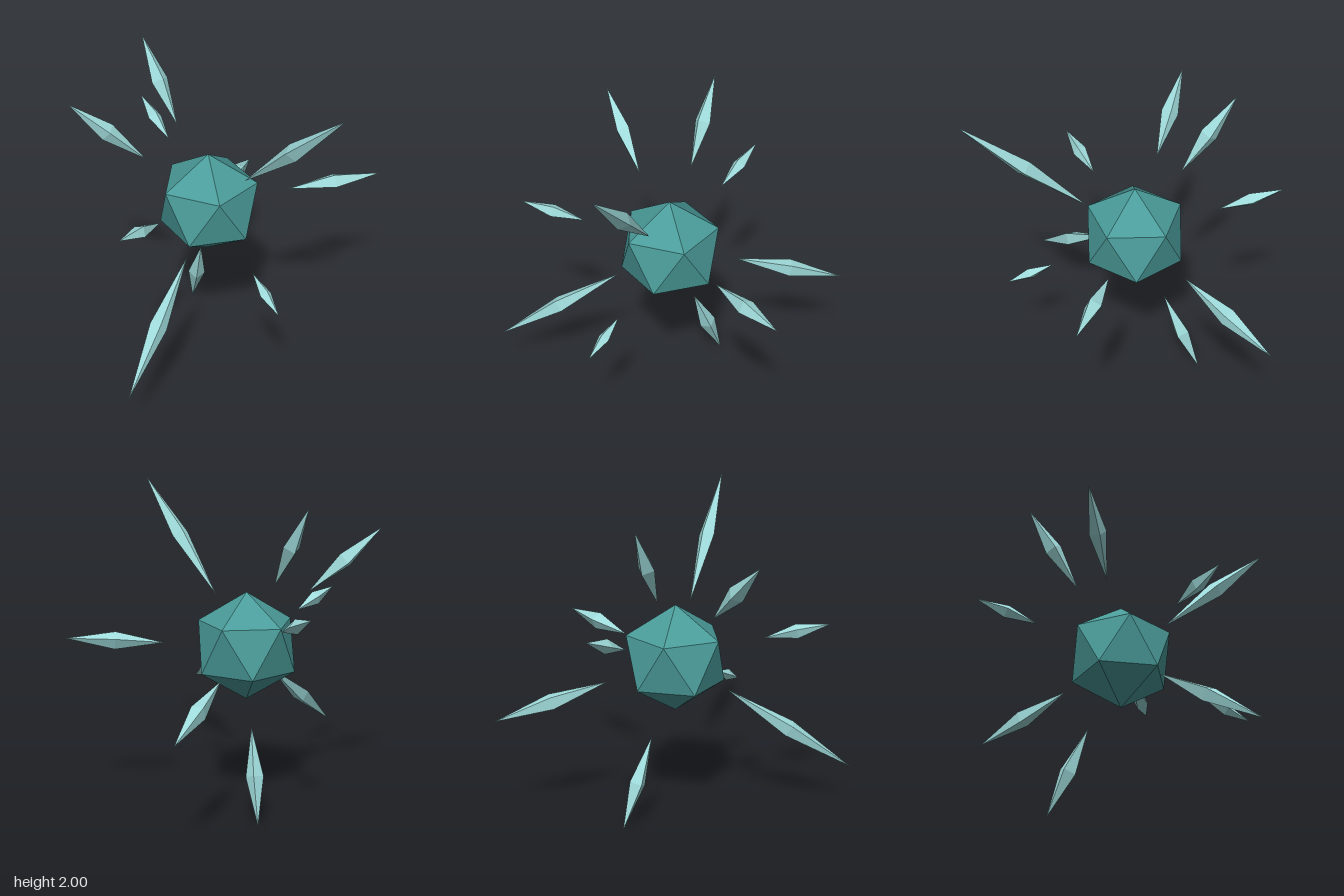
import * as THREE from 'three';
import { ConvexGeometry } from 'three/addons/geometries/ConvexGeometry.js';

const coreMaterial = new THREE.MeshStandardMaterial({ color: 0x4a9c9a, flatShading: true });
const shardMaterial = new THREE.MeshStandardMaterial({ color: 0xa0dcdc, flatShading: true });

// Icosahedron standing on a corner: two poles and two staggered rings of five
function createCore(radius) {
  const points = [new THREE.Vector3(0, radius, 0), new THREE.Vector3(0, -radius, 0)];
  const ringY = radius / Math.sqrt(5);
  for (let i = 0; i < 5; i++) {
    const a = (i * Math.PI * 2) / 5;
    const x = 2 * ringY * Math.cos(a);
    const z = 2 * ringY * Math.sin(a);
    points.push(new THREE.Vector3(-x, ringY, z), new THREE.Vector3(x, -ringY, z));
  }
  const core = new THREE.Mesh(new ConvexGeometry(points), coreMaterial);
  core.name = 'crystalCore';
  return core;
}

// Four-sided double-pointed shard stretched between its two tips
function createShard(inner, outer, waist) {
  const a = new THREE.Vector3(...inner);
  const b = new THREE.Vector3(...outer);
  const axis = b.clone().sub(a);
  const shard = new THREE.Mesh(new THREE.OctahedronGeometry(1), shardMaterial);
  shard.scale.set(waist, axis.length() / 2, waist);
  shard.position.copy(a).add(b).multiplyScalar(0.5);
  shard.quaternion.setFromUnitVectors(new THREE.Vector3(0, 1, 0), axis.normalize());
  return shard;
}

// Inner tip, outer tip, waist radius
const shards = [
  [[-0.115, 1.455, -0.34], [-0.17, 1.95, -0.665], 0.055],
  [[0.01, 1.31, 0.243], [0.195, 2.0, 0.965], 0.055],
  [[-0.415, 1.37, -0.207], [-0.82, 1.77, -0.39], 0.055],
  [[-0.545, 1.17, 0.19], [-0.905, 1.27, 0.37], 0.045],
  [[0.415, 1.06, 0.118], [0.985, 1.1, 0.315], 0.055],
  [[0.243, 0.905, -0.352], [0.745, 0.7, -0.838], 0.055],
  [[-0.33, 0.815, 0.13], [-0.988, 0.29, 0.563], 0.055],
  [[-0.01, 0.56, -0.245], [0.055, 0.005, -0.478], 0.055],
  [[-0.065, 0.795, 0.463], [-0.065, 0.66, 0.755], 0.038],
  [[-0.045, 1.22, -0.578], [-0.035, 1.365, -0.963], 0.045],
];

export function createModel() {
  const model = new THREE.Group();
  model.name = 'crystalBurst';

  const core = createCore(0.34);
  core.position.set(-0.064, 1.03, -0.055);
  model.add(core);

  shards.forEach(([inner, outer, waist], i) => {
    const shard = createShard(inner, outer, waist);
    shard.name = `shard${i + 1}`;
    model.add(shard);
  });
  return model;
}
